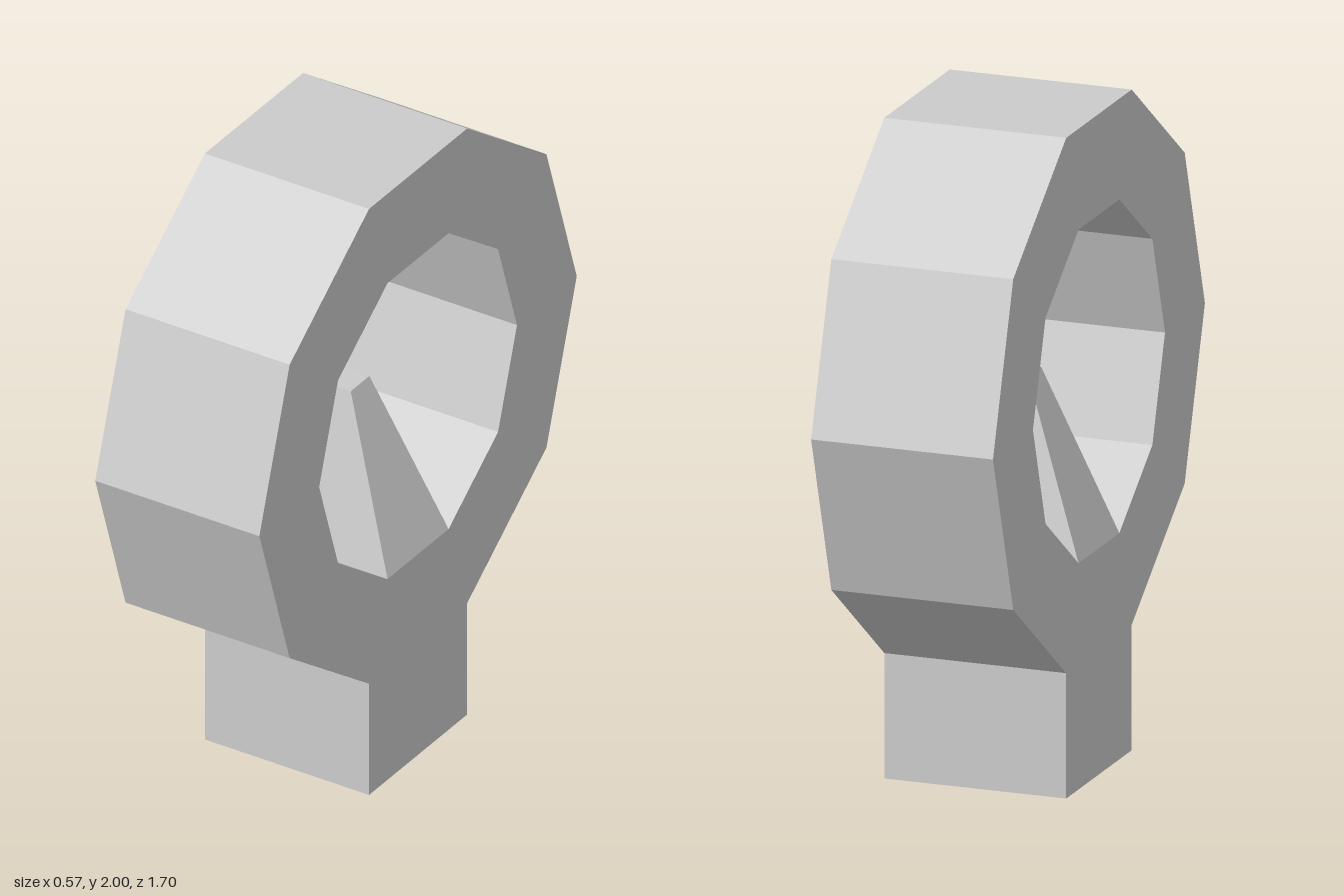
import * as THREE from 'three';

const CENTER_Y = 1.19, OUTER = 0.852, INNER = 0.531, DEPTH = 0.566;

// Corners of a regular decagon, starting just right of the bottom edge
function decagon(radius) {
  return Array.from({ length: 10 }, (_, i) => {
    const a = THREE.MathUtils.degToRad(-72 + i * 36);
    return new THREE.Vector2(radius * Math.cos(a), CENTER_Y + radius * Math.sin(a));
  });
}

export function createModel() {
  const group = new THREE.Group();
  const material = new THREE.MeshStandardMaterial({ color: 0xcccccc, flatShading: true });

  // Ten-sided ring and its square foot, one continuous outline
  const outer = decagon(OUTER);
  const footHalf = outer[0].x;
  const outline = new THREE.Shape([
    ...outer,
    new THREE.Vector2(-footHalf, 0),
    new THREE.Vector2(footHalf, 0),
  ]);
  outline.holes.push(new THREE.Path(decagon(INNER).reverse()));
  const ringGeometry = new THREE.ExtrudeGeometry(outline, { depth: DEPTH, bevelEnabled: false });
  ringGeometry.translate(0, 0, -DEPTH / 2).rotateY(-Math.PI / 2);
  const ring = new THREE.Mesh(ringGeometry, material);
  ring.name = 'ringWithFoot';
  group.add(ring);

  // Tapered post standing on the inner bottom facet
  const [corner] = decagon(INNER);
  const topY = 1.2, topWidth = 0.166, topDepth = 0.1;
  const height = topY - corner.y;
  const postGeometry = new THREE.BoxGeometry(DEPTH, height, corner.x * 2);
  const p = postGeometry.attributes.position;
  for (let i = 0; i < p.count; i++) {
    if (p.getY(i) > 0) {
      p.setX(i, Math.sign(p.getX(i)) * topWidth / 2);
      p.setZ(i, Math.sign(p.getZ(i)) * topDepth / 2);
    }
  }
  postGeometry.computeVertexNormals();
  const post = new THREE.Mesh(postGeometry, material);
  post.name = 'sightPost';
  post.position.y = corner.y + height / 2;
  group.add(post);

  return group;
}
